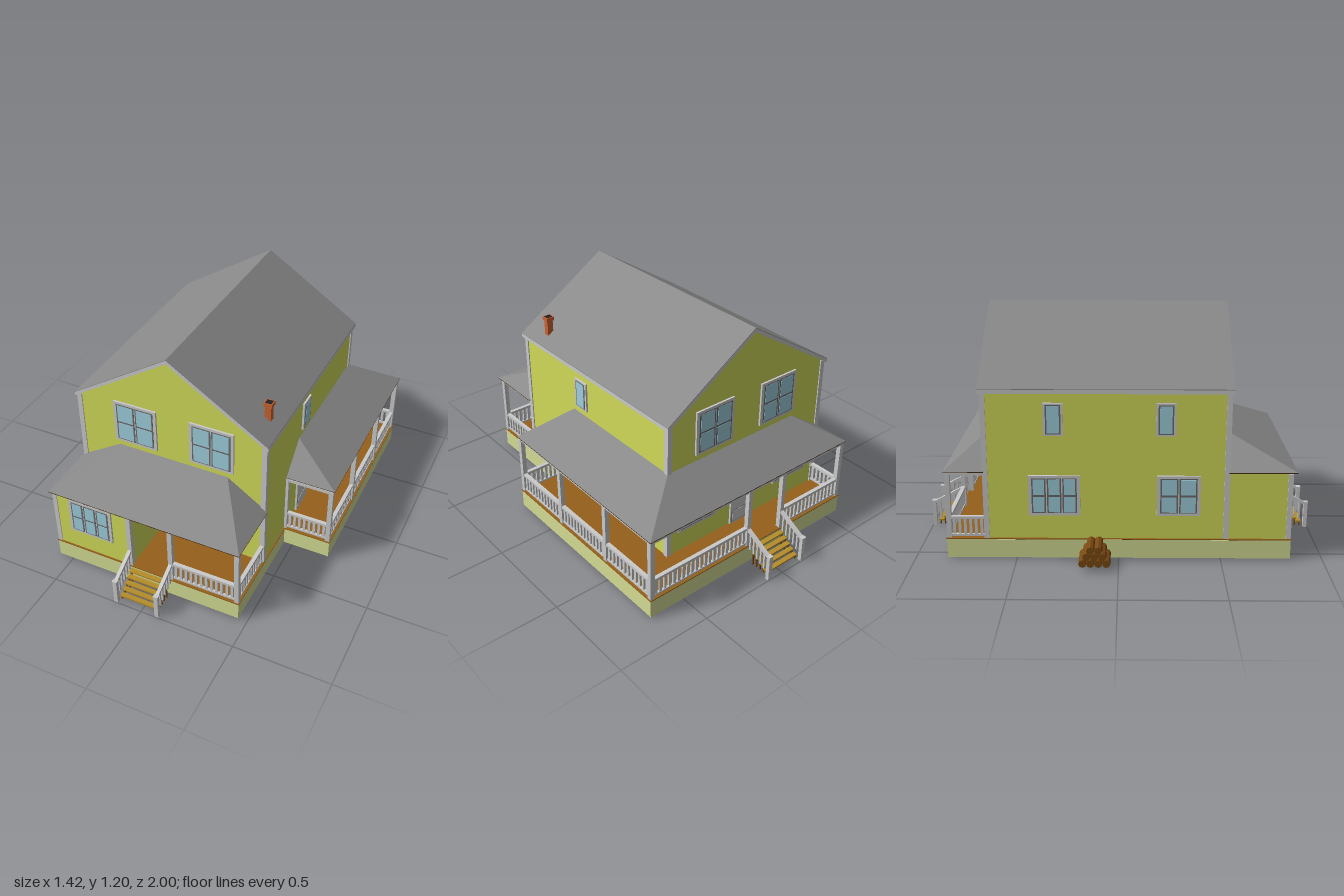
import * as THREE from 'three';

const mat = (color) => new THREE.MeshStandardMaterial({ color, flatShading: true, side: THREE.DoubleSide });
const M = {
  trim: mat(0xcccccc), siding: mat(0xd3dd5a), base: mat(0xd6de96), roof: mat(0x8a8a8a),
  glass: mat(0x9fd0df), frame: mat(0x6c6c6c), deck: mat(0x96601a), soffit: mat(0x452c10),
  tread: mat(0xb58d2a), wood: mat(0x7a4a12), brick: mat(0xcc6230), dark: mat(0x222222),
};

function add(parent, name, geo, material, x = 0, y = 0, z = 0) {
  const m = new THREE.Mesh(geo, material);
  m.name = name;
  m.position.set(x, y, z);
  parent.add(m);
  return m;
}

// Box given by its centre
const box = (p, name, m, w, h, d, x, y, z) => add(p, name, new THREE.BoxGeometry(w, h, d), m, x, y, z);

// Box given by its limits
const span = (p, name, m, x0, x1, y0, y1, z0, z1) =>
  box(p, name, m, x1 - x0, y1 - y0, z1 - z0, (x0 + x1) / 2, (y0 + y1) / 2, (z0 + z1) / 2);

const toShape = (pts) => new THREE.Shape(pts.map(([a, b]) => new THREE.Vector2(a, b)));

// Horizontal slab from an (x, z) outline, reaching down from its top
function slab(p, name, m, pts, top, depth, hole) {
  const s = toShape(pts);
  if (hole) s.holes.push(toShape(hole));
  const geo = new THREE.ExtrudeGeometry(s, { depth, bevelEnabled: false }).rotateX(Math.PI / 2);
  return add(p, name, geo, m, 0, top, 0);
}

// Upright (x, y) outline drawn out from z0 to z1
const prism = (p, name, m, pts, z0, z1) =>
  add(p, name, new THREE.ExtrudeGeometry(toShape(pts), { depth: z1 - z0, bevelEnabled: false }), m, 0, 0, z0);

function place(parent, name, x, y, z, turn = 0) {
  const g = new THREE.Group();
  g.name = name;
  g.position.set(x, y, z);
  g.rotation.y = turn;
  parent.add(g);
  return g;
}

// Sloping porch roof between an eave path and a top path, both (x, z)
function porchRoof(p, name, eave, top) {
  const v = [], lo = 0.455, hi = 0.6;
  for (let i = 0; i + 1 < eave.length; i++) {
    const [a, b] = [eave[i], eave[i + 1]].map(([x, z]) => [x, lo, z]);
    const [c, d] = [top[i + 1], top[i]].map(([x, z]) => [x, hi, z]);
    v.push(...a, ...b, ...c);
    if (c[0] !== d[0] || c[2] !== d[2]) v.push(...a, ...c, ...d);
  }
  const geo = new THREE.BufferGeometry();
  geo.setAttribute('position', new THREE.Float32BufferAttribute(v, 3));
  geo.computeVertexNormals();
  add(p, name, geo, M.roof);
}

// Window with columns of panes, each split in rows
function addWindow(parent, x, y, z, turn, w, h, cols, rows = 2) {
  const g = place(parent, 'window', x, y, z, turn);
  box(g, 'windowTrim', M.trim, w, h, 0.02, 0, 0, 0);
  const edge = cols > 1 ? 0.013 : 0.008, cw = (w - 2 * edge) / cols, ch = h - 2 * edge;
  for (let c = 0; c < cols; c++) {
    const cx = (c - (cols - 1) / 2) * cw;
    box(g, 'sash', M.frame, cw - 0.006, ch, 0.024, cx, 0, 0);
    for (let r = 0; r < rows; r++)
      box(g, 'pane', M.glass, cw - 0.02, ch / rows - 0.01, 0.027, cx, (r - (rows - 1) / 2) * ch / rows, 0);
  }
}

// Door with an octagonal light and a lower panel
function addDoor(parent, x, z, turn) {
  const g = place(parent, 'door', x, 0.11, z, turn);
  span(g, 'doorLeaf', M.trim, -0.072, 0.072, 0, 0.288, -0.01, 0.01);
  const oct = (r, d) => new THREE.CylinderGeometry(r, r, d, 8).rotateY(Math.PI / 8).rotateX(Math.PI / 2);
  add(g, 'doorLightFrame', oct(0.062, 0.024), M.frame, 0, 0.215, 0);
  add(g, 'doorLight', oct(0.056, 0.03), M.glass, 0, 0.215, 0);
  span(g, 'panelEdge', M.frame, -0.065, 0.065, 0.012, 0.085, -0.011, 0.012);
  span(g, 'panel', M.trim, -0.061, 0.061, 0.016, 0.081, -0.011, 0.014);
  add(g, 'knob', new THREE.SphereGeometry(0.006, 8, 6), M.frame, 0.06, 0.13, 0.014);
}

// Railing with balusters between two (x, z) points
function addRail(parent, x0, z0, x1, z1) {
  const len = Math.hypot(x1 - x0, z1 - z0);
  const g = place(parent, 'railing', x0, 0, z0, Math.atan2(z0 - z1, x1 - x0));
  box(g, 'topRail', M.trim, len, 0.014, 0.02, len / 2, 0.216, 0);
  box(g, 'bottomRail', M.trim, len, 0.01, 0.014, len / 2, 0.125, 0);
  const n = Math.round(len / 0.028);
  for (let i = 0; i < n; i++)
    box(g, 'baluster', M.trim, 0.014, 0.085, 0.01, (i + 0.5) * len / n, 0.17, 0);
}

const addPost = (p, x, z) => box(p, 'porchPost', M.trim, 0.024, 0.335, 0.024, x, 0.28, z);

// Flight of open steps with sloping handrails, descending along +z
function addStairs(parent, turn) {
  const g = place(parent, 'stairs', -0.0285, 0, 0, turn);
  for (let i = 0; i < 5; i++) {
    const y = 0.098 - i * 0.019, z = 0.858 + i * 0.025;
    box(g, 'tread', M.tread, 0.21, 0.008, 0.026, 0, y, z);
    for (const s of [-1, 1]) box(g, 'treadLeg', M.wood, 0.008, y, 0.007, s * 0.098, y / 2, z + 0.005);
  }
  for (const s of [-1, 1]) {
    const x = s * 0.1145;
    box(g, 'newel', M.trim, 0.022, 0.135, 0.02, x, 0.0675, 0.988);
    box(g, 'newelCap', M.trim, 0.026, 0.01, 0.024, x, 0.137, 0.988);
    const rail = box(g, 'handrail', M.trim, 0.018, 0.014, 0.17, x, 0.17, 0.91);
    rail.rotation.x = Math.atan2(0.08, 0.15);
    for (let i = 0; i < 5; i++) {
      const z = 0.856 + i * 0.025, top = 0.199 - i * 0.0133;
      span(g, 'stairBaluster', M.trim, x - 0.006, x + 0.006, top - 0.1, top, z - 0.005, z + 0.005);
    }
  }
}

export function createModel() {
  const house = new THREE.Group();
  house.name = 'house';
  const HALF = Math.PI / 2;

  // Hollow foundation skirt and deck
  const outline = (o) => [[-0.575 - o, 0.84 + o], [0.455 + o, 0.84 + o], [0.455 + o, 0.26 + o],
    [0.705 + o, 0.26 + o], [0.705 + o, -0.84 - o], [-0.575 - o, -0.84 - o]];
  slab(house, 'foundation', M.base, outline(0), 0.105, 0.095, outline(-0.006));
  slab(house, 'deck', M.deck, outline(0.003), 0.112, 0.005);
  slab(house, 'deckUnderside', M.soffit, outline(-0.001), 0.107, 0.004);

  // Main walls, enclosed front room and corner boards
  prism(house, 'walls', M.siding,
    [[-0.57, 0.11], [0.45, 0.11], [0.45, 0.855], [-0.055, 1.18], [-0.57, 0.855]], -0.65, 0.53);
  span(house, 'frontRoom', M.siding, -0.57, -0.135, 0.11, 0.452, 0.5, 0.835);
  for (const x of [-0.5625, 0.4425]) for (const z of [0.5225, -0.6425])
    box(house, 'cornerBoard', M.trim, 0.026, 0.745, 0.026, x, 0.4825, z);

  // Gable roof: pale edge boards under a thin covering
  const chevron = (top, t) => [[-0.58, 0.865 + top - t], [-0.055, 1.2 + top - t], [0.465, 0.865 + top - t],
    [0.465, 0.865 + top], [-0.055, 1.2 + top], [-0.58, 0.865 + top]];
  prism(house, 'roofEdge', M.trim, chevron(-0.003, 0.02), -0.667, 0.547);
  prism(house, 'mainRoof', M.roof, chevron(0, 0.003), -0.667, 0.547);

  // Porch roofs with dark ceilings
  porchRoof(house, 'frontPorchRoof', [[-0.58, 0.53], [-0.58, 0.86], [0.465, 0.86], [0.465, 0.53]],
    [[-0.35, 0.53], [-0.35, 0.53], [0.25, 0.53], [0.25, 0.53]]);
  slab(house, 'frontPorchCeiling', M.soffit, [[-0.58, 0.53], [-0.58, 0.86], [0.465, 0.86], [0.465, 0.53]], 0.455, 0.004);
  porchRoof(house, 'wrapPorchRoof', [[-0.58, -0.65], [-0.58, -0.845], [0.71, -0.845], [0.71, 0.255], [0.45, 0.255]],
    [[-0.365, -0.65], [-0.365, -0.65], [0.45, -0.65], [0.45, 0.1], [0.45, 0.1]]);
  slab(house, 'wrapPorchCeiling', M.soffit, [[-0.58, -0.65], [-0.58, -0.845], [0.71, -0.845], [0.71, 0.255],
    [0.45, 0.255], [0.45, -0.65]], 0.455, 0.004);

  // Porch posts
  for (const x of [-0.5625, -0.143, 0.086, 0.4425]) addPost(house, x, 0.827);
  for (const x of [-0.5625, -0.143, 0.086, 0.692]) addPost(house, x, -0.827);
  for (const z of [0.247, -0.11, -0.485]) addPost(house, 0.692, z);
  addPost(house, 0.4525, 0.247);

  // Beams under the eaves
  const beam = (...b) => span(house, 'porchBeam', M.trim, b[0], b[1], 0.434, 0.452, b[2], b[3]);
  beam(-0.135, 0.455, 0.817, 0.838);
  beam(0.432, 0.453, 0.53, 0.838);
  beam(-0.573, 0.703, -0.838, -0.817);
  beam(0.682, 0.703, -0.838, 0.258);
  beam(0.45, 0.703, 0.237, 0.258);
  beam(-0.573, -0.552, -0.838, -0.65);

  // Railings
  [[0.098, 0.827, 0.43, 0.827], [0.4425, 0.815, 0.4425, 0.535], [0.465, 0.247, 0.68, 0.247],
    [0.692, 0.235, 0.692, -0.098], [0.692, -0.122, 0.692, -0.473], [0.692, -0.497, 0.692, -0.815],
    [0.68, -0.827, 0.098, -0.827], [-0.155, -0.827, -0.55, -0.827], [-0.5625, -0.815, -0.5625, -0.655],
  ].forEach((r) => addRail(house, ...r));

  // Steps front and back
  addStairs(house, 0);
  addStairs(house, Math.PI);

  // Doors
  addDoor(house, -0.04, 0.53, 0);
  addDoor(house, -0.03, -0.65, Math.PI);
  addDoor(house, 0.45, 0.035, HALF);

  // Windows, front and back
  for (const x of [-0.247, 0.168]) {
    addWindow(house, x, 0.753, 0.53, 0, 0.235, 0.236, 2);
    addWindow(house, x, 0.753, -0.65, Math.PI, 0.235, 0.236, 2);
  }
  addWindow(house, -0.357, 0.33, 0.835, 0, 0.243, 0.203, 3);
  for (const x of [-0.375, 0.265]) addWindow(house, x, 0.33, -0.65, Math.PI, 0.243, 0.203, 3);

  // Windows on the sides
  addWindow(house, 0.45, 0.33, -0.295, HALF, 0.25, 0.2, 3);
  addWindow(house, 0.45, 0.717, 0.025, HALF, 0.095, 0.16, 1, 1);
  for (const z of [-0.31, 0.225]) addWindow(house, -0.57, 0.717, z, -HALF, 0.095, 0.16, 1, 1);
  addWindow(house, -0.57, 0.335, -0.31, -HALF, 0.25, 0.203, 3);
  addWindow(house, -0.57, 0.335, 0.29, -HALF, 0.21, 0.203, 2);

  // Chimney
  const chimney = place(house, 'chimney', 0.396, 0, 0.385);
  box(chimney, 'chimneyShaft', M.brick, 0.032, 0.13, 0.03, 0, 0.925, 0);
  box(chimney, 'chimneyCap', M.brick, 0.043, 0.02, 0.04, 0, 0.99, 0);
  box(chimney, 'chimneyOpening', M.dark, 0.032, 0.002, 0.03, 0, 1.0, 0);

  // Stacked firewood
  const pile = place(house, 'firewood', -0.647, 0, -0.114);
  for (let row = 0; row < 3; row++) for (let i = 0; i < 4 - row; i++)
    add(pile, 'log', new THREE.CylinderGeometry(0.0195, 0.0195, 0.134, 8).rotateZ(HALF), M.wood,
      0, 0.04 + row * 0.033, (i - (3 - row) / 2) * 0.038);

  return house;
}
